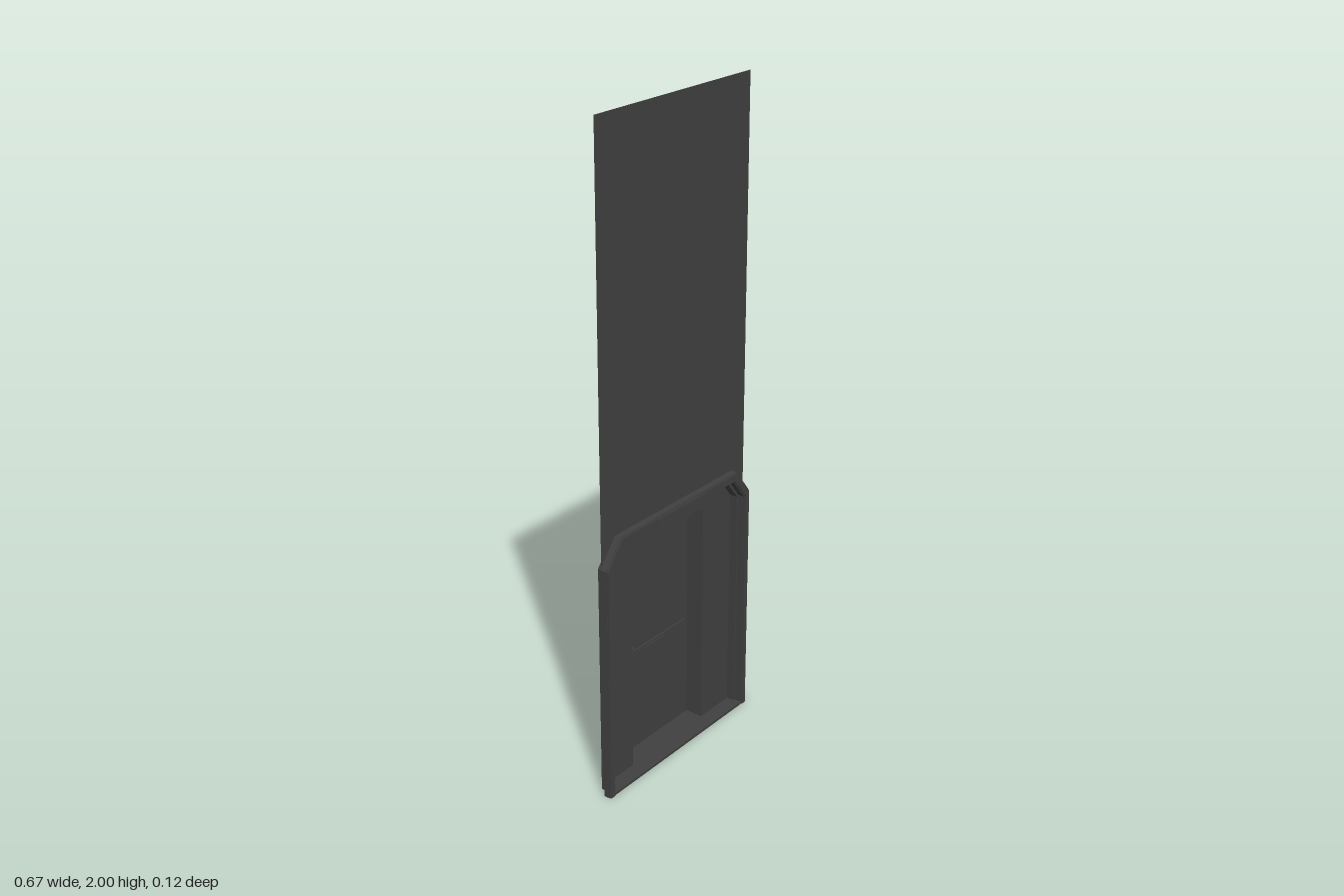
import * as THREE from 'three';

const material = new THREE.MeshStandardMaterial({ color: 0x404040, side: THREE.DoubleSide });

// Outline of an upright opening with chamfered top corners, left foot to right foot
function arch(w, h, cx = 0, cy = 0) {
  if (!cx) return [[-w, 0], [-w, h], [w, h], [w, 0]];
  return [[-w, 0], [-w, h - cy], [cx - w, h], [w - cx, h], [w, h - cy], [w, 0]];
}

// Outer outline with the inner one notched out from the ground up
function notched(outer, inner) {
  const points = inner ? [...outer, ...inner.slice().reverse()] : outer;
  return new THREE.Shape(points.map(([x, y]) => new THREE.Vector2(x, y)));
}

export function createModel() {
  const model = new THREE.Group();

  function add(name, geometry, parent = model) {
    const mesh = new THREE.Mesh(geometry, material);
    mesh.name = name;
    parent.add(mesh);
    return mesh;
  }
  function slab(name, shape, z0, z1, parent) {
    const geometry = new THREE.ExtrudeGeometry(shape, { depth: z1 - z0, bevelEnabled: false });
    return add(name, geometry.translate(0, 0, z0), parent);
  }
  function box(name, x0, x1, y0, y1, z0, z1, parent) {
    const geometry = new THREE.BoxGeometry(x1 - x0, y1 - y0, z1 - z0);
    geometry.translate((x0 + x1) / 2, (y0 + y1) / 2, (z0 + z1) / 2);
    return add(name, geometry, parent);
  }

  const flangeOuter = arch(0.333, 0.822, 0.063, 0.08);
  const flangeInner = arch(0.31, 0.795, 0.055, 0.068);
  const bodyInner = arch(0.304, 0.788, 0.053, 0.066);
  const doorway = arch(0.168, 0.73);

  // Tall thin wall with the alcove cut out of it
  const wall = new THREE.ShapeGeometry(notched(arch(0.33, 2), flangeInner));
  add('wallPanel', wall.translate(0, 0, 0.031));

  // Flange around the alcove, with a slimmer front step for its softened edge
  const frame = new THREE.Group();
  frame.name = 'doorFrame';
  model.add(frame);
  slab('flange', notched(flangeOuter, flangeInner), 0.031, 0.052, frame);
  slab('flangeFront', notched(arch(0.33, 0.819, 0.062, 0.079), arch(0.313, 0.798, 0.056, 0.069)), 0.052, 0.056, frame);
  box('topLip', -0.112, 0.112, 0.8, 0.816, 0.056, 0.059, frame);

  // Alcove shell and its back wall around the doorway
  slab('alcoveShell', notched(flangeInner, bodyInner), 0.003, 0.031, frame);
  slab('alcoveWall', notched(arch(0.307, 0.792, 0.054, 0.067), doorway), 0, 0.005, frame);
  box('floor', -0.31, 0.31, 0, 0.008, 0.002, 0.054, frame);

  // Deep door casing behind the alcove
  const door = new THREE.Group();
  door.name = 'door';
  model.add(door);
  slab('casing', notched(arch(0.173, 0.735), doorway), -0.06, 0.004, door);
  box('threshold', -0.168, 0.168, 0, 0.008, -0.06, 0.004, door);
  box('doorSlab', -0.168, 0.168, 0.008, 0.73, -0.057, -0.052, door);

  // Upper and lower door leaves, slightly raised on both faces
  for (const [name, y0, y1] of [['lowerLeaf', 0.025, 0.335], ['upperLeaf', 0.35, 0.722]]) {
    box(name, -0.157, 0.15, y0, y1, -0.059, -0.05, door);
  }
  box('middleRail', -0.168, 0.15, 0.337, 0.345, -0.052, -0.047, door);
  box('pull', -0.06, 0.05, 0.331, 0.337, -0.05, -0.044, door);
  box('latch', -0.168, -0.1, 0.352, 0.36, -0.05, -0.042, door);

  // Hinges on the rear edge
  for (const y of [0.07, 0.66]) box('hinge', -0.166, -0.16, y - 0.025, y + 0.025, -0.06, -0.056, door);

  return model;
}
